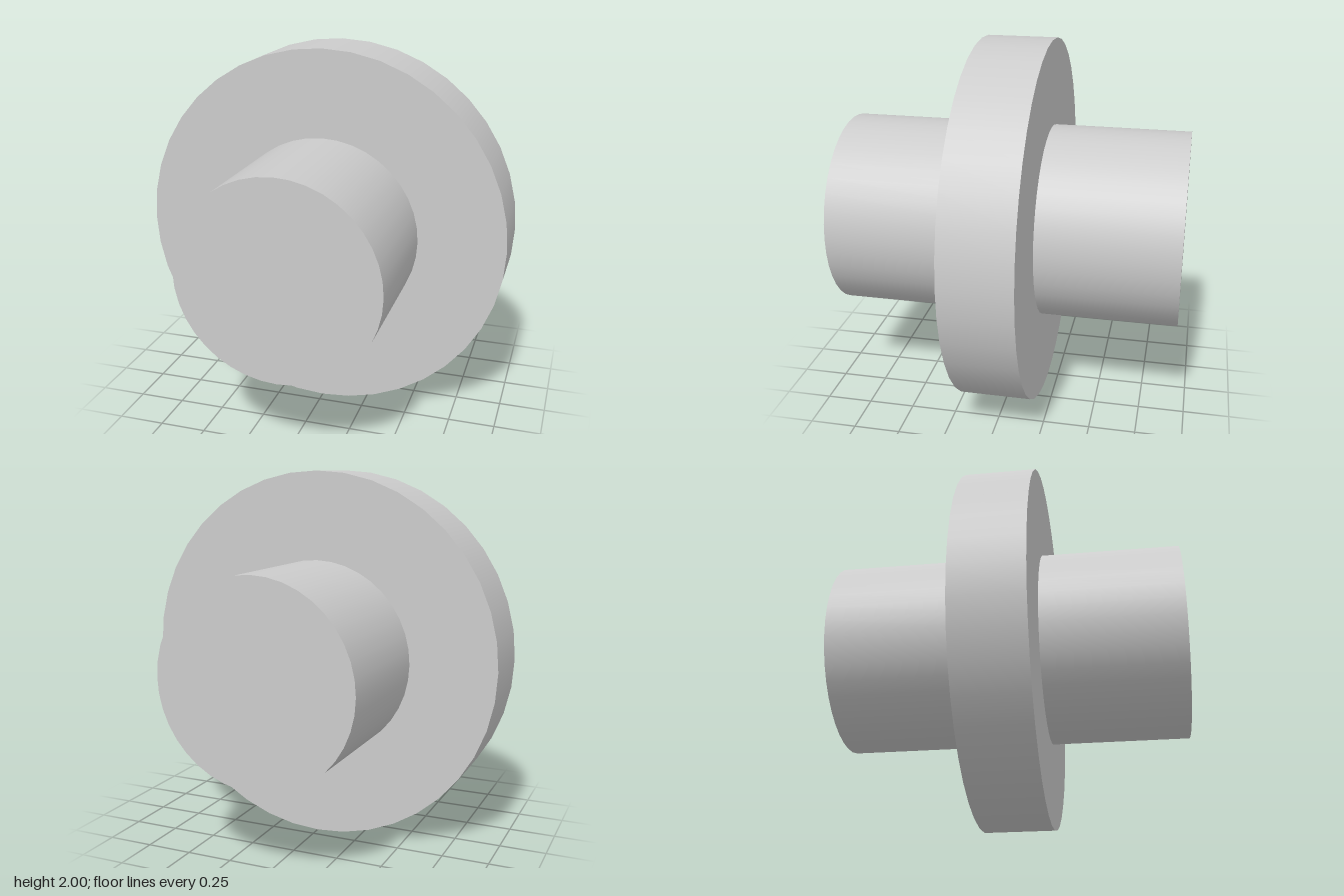
import * as THREE from 'three';

const SEGMENTS = 40;

export function createModel() {
  const group = new THREE.Group();
  const material = new THREE.MeshStandardMaterial({ color: 0xcccccc });

  // Cylinder lying along z, centred at height 1
  function addCylinder(name, radius, length, z) {
    const geometry = new THREE.CylinderGeometry(radius, radius, length, SEGMENTS);
    geometry.rotateX(Math.PI / 2);
    const mesh = new THREE.Mesh(geometry, material);
    mesh.name = name;
    mesh.position.set(0, 1, z);
    group.add(mesh);
  }

  // Wide central disc
  const discHalf = 0.19;
  addCylinder('disc', 1, discHalf * 2, 0);

  // Matching shaft stubs on both faces of the disc
  const shaftEnd = 0.935;
  const stubLength = shaftEnd - discHalf;
  for (const [name, side] of [['frontShaft', 1], ['backShaft', -1]]) {
    addCylinder(name, 0.53, stubLength, side * (discHalf + stubLength / 2));
  }

  return group;
}
